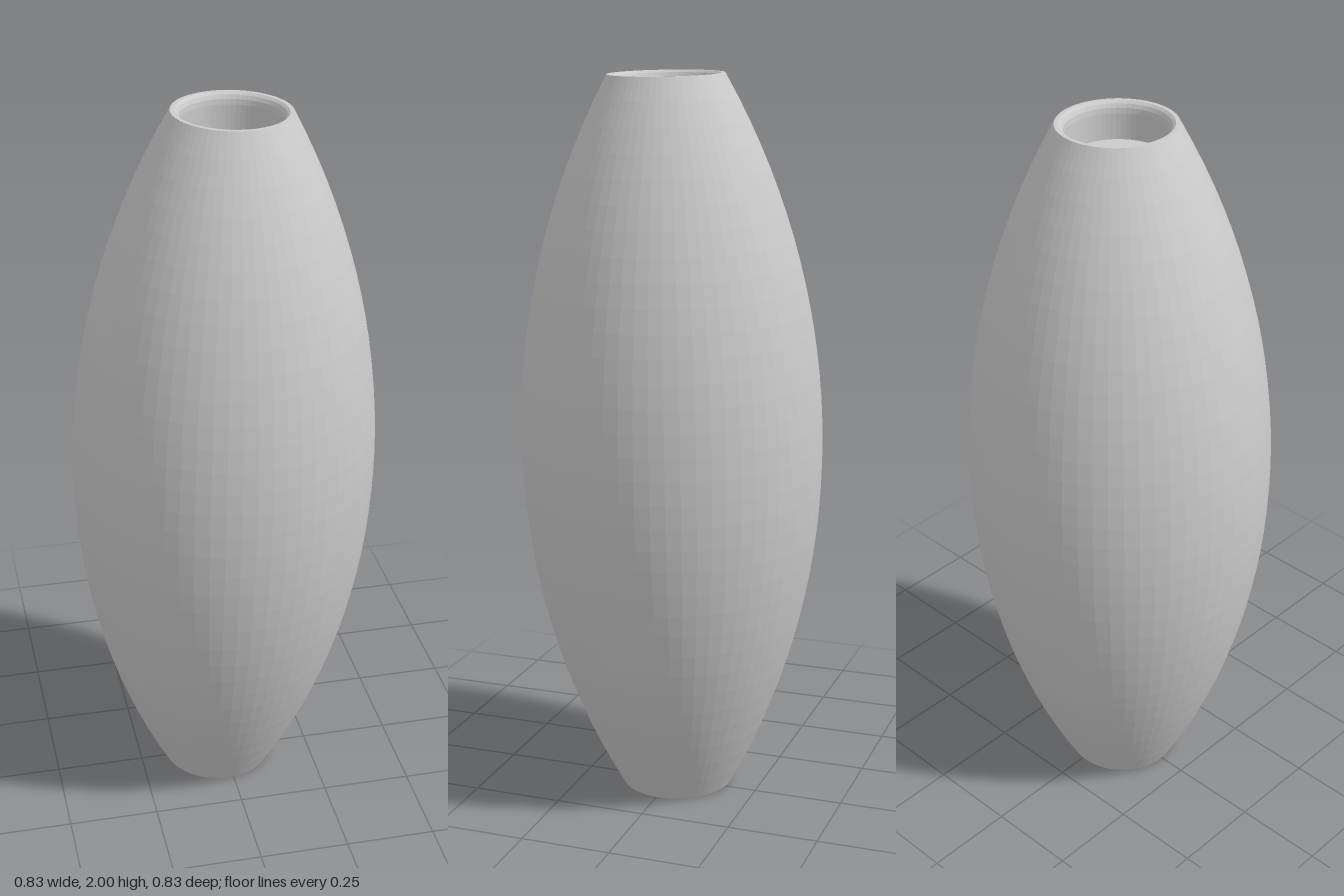
import * as THREE from 'three';

export function createModel() {
  const group = new THREE.Group();
  group.name = 'barrelBead';
  const half = 0.997, maxR = 0.413, endR = 0.156;
  const sag = maxR - endR;
  const arcR = (half * half + sag * sag) / (2 * sag);
  const rows = 32;

  // Outer bulge: a circular arc from the bottom rim to the top rim
  const profile = [];
  for (let i = 0; i <= rows; i++) {
    const y = half * (2 * i / rows - 1);
    profile.push(new THREE.Vector2(maxR - arcR + Math.sqrt(arcR * arcR - y * y), y));
  }

  // End recess: flat rim, bevelled lip, counterbore wall, floor and bore edge
  const recess = [[0.145, half], [0.138, half - 0.006], [0.133, half - 0.016], [0.131, half - 0.03],
    [0.131, half - 0.1], [0.054, half - 0.1]];
  for (const [r, y] of recess) profile.push(new THREE.Vector2(r, y));
  for (const [r, y] of [...recess].reverse()) profile.push(new THREE.Vector2(r, -y));
  profile.push(profile[0].clone());

  const body = new THREE.Mesh(
    new THREE.LatheGeometry(profile, 64),
    new THREE.MeshStandardMaterial({ color: 0xcccccc, flatShading: true })
  );
  body.name = 'hollowBody';

  // The axis leans slightly
  body.quaternion.setFromUnitVectors(new THREE.Vector3(0, 1, 0), new THREE.Vector3(0.0205, 1, 0.0105).normalize());
  body.position.y = 1;
  group.add(body);
  return group;
}
